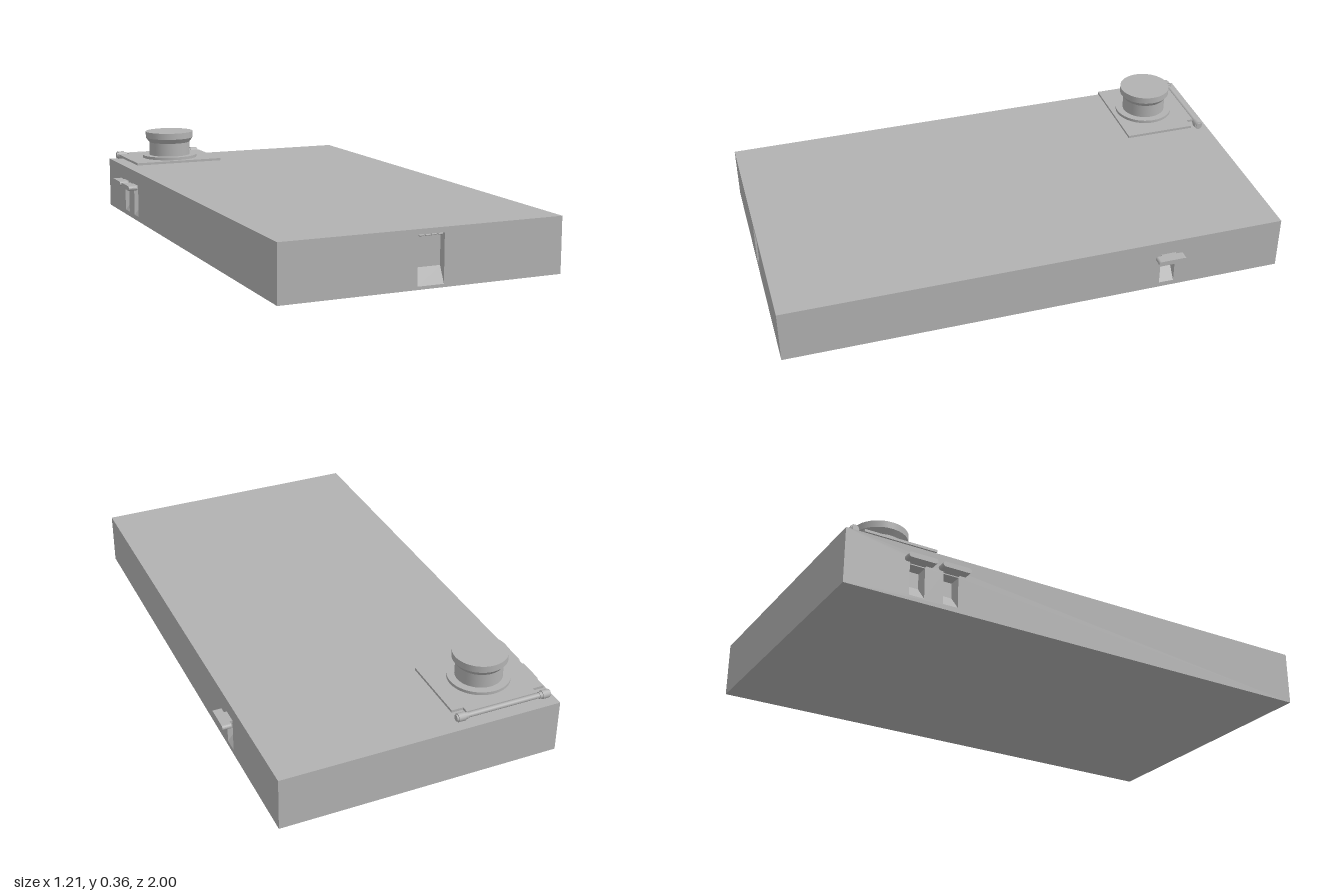
import * as THREE from 'three';

const W = 0.557, H = 0.215;

export function createModel() {
  const model = new THREE.Group();
  const grey = new THREE.MeshStandardMaterial({ color: 0xb2b2b2 });
  grey.name = 'plain grey';

  const add = (parent, name, geometry, x = 0, y = 0, z = 0) => {
    const mesh = new THREE.Mesh(geometry, grey);
    mesh.name = name;
    mesh.position.set(x, y, z);
    parent.add(mesh);
    return mesh;
  };
  const rectangle = (path, x0, y0, x1, y1) =>
    path.moveTo(x0, y0).lineTo(x1, y0).lineTo(x1, y1).lineTo(x0, y1).closePath();

  // Recess with a sloping floor, a back wall, a ceiling and two cheeks
  const recessGeometry = ({ x, w, y0, ym, y1, d }) => {
    const profile = [[y0, 0], [ym, -d], [y1, -d], [y1, 0]];
    const l = x - w / 2, r = x + w / 2;
    const at = (px, i) => [px, ...profile[i]];
    const pos = [];
    const quad = (a, b, c, e) => pos.push(...a, ...b, ...c, ...a, ...c, ...e);
    for (let i = 0; i < 3; i++) quad(at(l, i), at(r, i), at(r, i + 1), at(l, i + 1));
    quad(at(l, 0), at(l, 1), at(l, 2), at(l, 3));
    quad(at(r, 3), at(r, 2), at(r, 1), at(r, 0));
    const g = new THREE.BufferGeometry();
    g.setAttribute('position', new THREE.Float32BufferAttribute(pos, 3));
    g.computeVertexNormals();
    return g;
  };

  // One upright face of the slab, pierced by its recesses
  const addWall = (name, halfWidth, distance, angle, recesses) => {
    const wall = new THREE.Group();
    wall.name = name;
    const shape = new THREE.Shape();
    rectangle(shape, -halfWidth, 0, halfWidth, H);
    for (const p of recesses) {
      const hole = new THREE.Path();
      rectangle(hole, p.x - p.w / 2, p.y0, p.x + p.w / 2, p.y1);
      shape.holes.push(hole);
      add(wall, 'recess', recessGeometry(p));
    }
    add(wall, 'wallFace', new THREE.ShapeGeometry(shape));
    wall.rotation.y = angle;
    wall.position.set(Math.sin(angle) * distance, 0, Math.cos(angle) * distance);
    model.add(wall);
    return wall;
  };

  // Slab body
  add(model, 'bodyTop', new THREE.PlaneGeometry(2 * W, 2).rotateX(-Math.PI / 2), 0, H, 0);
  add(model, 'bodyBottom', new THREE.PlaneGeometry(2 * W, 2).rotateX(Math.PI / 2));
  const front = addWall('frontWall', W, 1, 0,
    [{ x: 0.02, w: 0.105, y0: 0.012, ym: 0.073, y1: 0.195, d: 0.03 }]);
  addWall('backWall', W, 1, Math.PI, []);
  const latch = (x) => ({ x, w: 0.06, y0: 0.02, ym: 0.08, y1: 0.14, d: 0.05 });
  const leftLatches = [latch(0.525)];
  const rightLatches = [latch(-0.72), latch(-0.585)];
  const left = addWall('leftWall', 1, W, Math.PI / 2, leftLatches);
  const right = addWall('rightWall', 1, W, -Math.PI / 2, rightLatches);

  // Small hinge knuckles under the lip of the front recess
  for (let i = 0; i < 4; i++)
    add(front, 'hingeKnuckle',
      new THREE.CylinderGeometry(0.003, 0.003, 0.018, 8).rotateZ(Math.PI / 2),
      -0.018 + i * 0.025, 0.191, -0.004);

  // Flat round-ended handles on short necks
  const handleShape = new THREE.Shape();
  handleShape.absarc(0.0475, 0, 0.01, -Math.PI / 2, Math.PI / 2);
  handleShape.absarc(-0.0475, 0, 0.01, Math.PI / 2, Math.PI * 1.5);
  handleShape.closePath();
  const handleGeometry = new THREE.ExtrudeGeometry(handleShape,
    { depth: 0.036, bevelEnabled: false, curveSegments: 8 });
  for (const [wall, list] of [[left, leftLatches], [right, rightLatches]])
    for (const p of list) {
      add(wall, 'handle', handleGeometry, p.x, 0.152, 0.013);
      add(wall, 'handleNeck', new THREE.BoxGeometry(0.06, 0.014, 0.023), p.x, 0.151, 0.0065);
    }

  // Hinged cap unit on the rear right corner
  const cap = new THREE.Group();
  cap.name = 'capUnit';
  cap.position.set(-0.342, 0, -0.77);
  model.add(cap);

  // Plate with notched rear corners
  const plate = new THREE.Shape();
  plate.moveTo(-0.192, -0.14).lineTo(0.192, -0.14).lineTo(0.192, 0.148)
    .lineTo(0.145, 0.148).lineTo(0.145, 0.175).lineTo(-0.145, 0.175)
    .lineTo(-0.145, 0.148).lineTo(-0.192, 0.148).closePath();
  add(cap, 'hingePlate',
    new THREE.ExtrudeGeometry(plate, { depth: 0.01, bevelEnabled: false }).rotateX(-Math.PI / 2),
    0, 0.234, 0);

  // Turned knob, with repeated points to keep its edges sharp
  const profile = [
    [0, 0.243], [0.12, 0.243], [0.12, 0.243], [0.12, 0.256], [0.12, 0.256],
    [0.09, 0.256], [0.09, 0.256], [0.09, 0.313], [0.09, 0.313], [0.105, 0.333],
    [0.105, 0.333], [0.105, 0.36], [0.105, 0.36], [0, 0.36],
  ].map(([r, y]) => new THREE.Vector2(r, y));
  for (let i = 0; i < profile.length - 1; i++) {
    if (profile[i].equals(profile[i + 1])) continue;
    add(cap, 'knobBand', new THREE.LatheGeometry([profile[i], profile[i + 1]], 40));
  }

  // Hinge rod with collars and end nuts
  const along = (r, length, sides) =>
    new THREE.CylinderGeometry(r, r, length, sides).rotateZ(Math.PI / 2);
  add(cap, 'hingeRod', along(0.01, 0.38, 16), 0, 0.236, -0.185);
  for (const s of [-1, 1]) {
    add(cap, 'endNut', along(0.017, 0.028, 12), s * 0.174, 0.236, -0.185);
    add(cap, 'rodTip', along(0.013, 0.008, 12), s * 0.19, 0.236, -0.185);
    add(cap, 'collar', along(0.013, 0.012, 12), s * 0.155, 0.236, -0.185);
  }
  return model;
}
